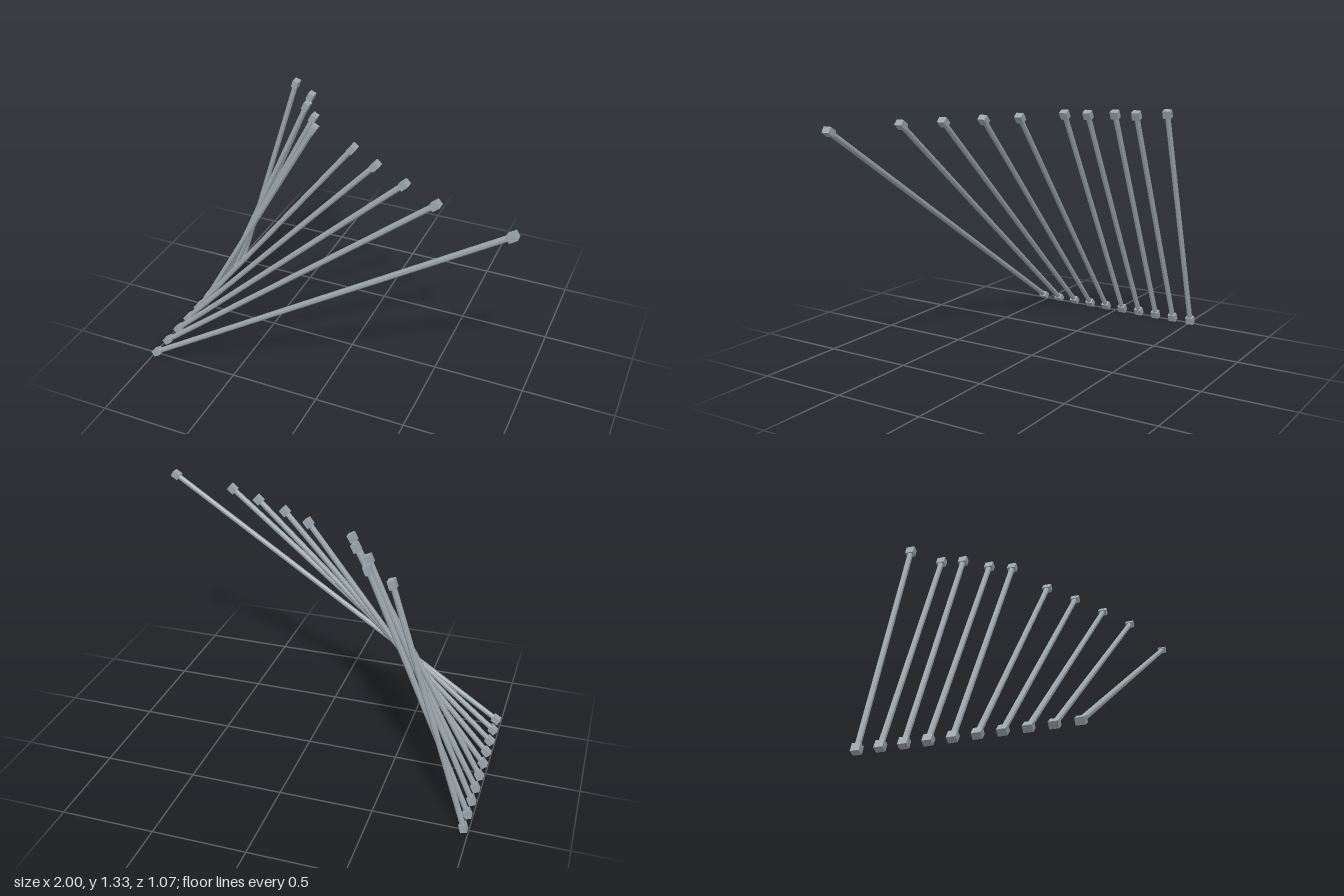
import * as THREE from 'three';

// Ten slanted rods fanning out from a shared corner line, each with a block at both ends.
export function createModel() {
  const group = new THREE.Group();
  group.name = 'rodFan';
  const steel = new THREE.MeshStandardMaterial({ color: 0x9aa5ab, flatShading: true });
  steel.name = 'steel grey';

  const baseX = -0.973, baseY = 0.027, topY = 1.305;
  // x of the upper end of each rod, front to back
  const topX = [0.973, 0.58, 0.384, 0.193, 0.025, -0.242, -0.293, -0.388, -0.415, -0.56];
  const blockGeometry = new THREE.BoxGeometry(0.034, 0.044, 0.044);
  const up = new THREE.Vector3(0, 1, 0);

  topX.forEach((x, i) => {
    const z = 0.515 - i * (1.03 / 9);
    const start = new THREE.Vector3(baseX, baseY, z);
    const end = new THREE.Vector3(x, topY, z);
    const length = start.distanceTo(end);

    // rod group lies along its own y axis, then tilts into place
    const rod = new THREE.Group();
    rod.name = `rod${i + 1}`;
    rod.position.copy(start).lerp(end, 0.5);
    rod.quaternion.setFromUnitVectors(up, end.clone().sub(start).normalize());

    const shaft = new THREE.Mesh(new THREE.CylinderGeometry(0.0148, 0.0148, length, 8), steel);
    shaft.name = 'shaft';
    shaft.rotation.y = Math.PI / 8;
    rod.add(shaft);

    for (const [name, side] of [['lowerBlock', -1], ['upperBlock', 1]]) {
      const block = new THREE.Mesh(blockGeometry, steel);
      block.name = name;
      block.position.y = side * length / 2;
      rod.add(block);
    }
    group.add(rod);
  });
  return group;
}
